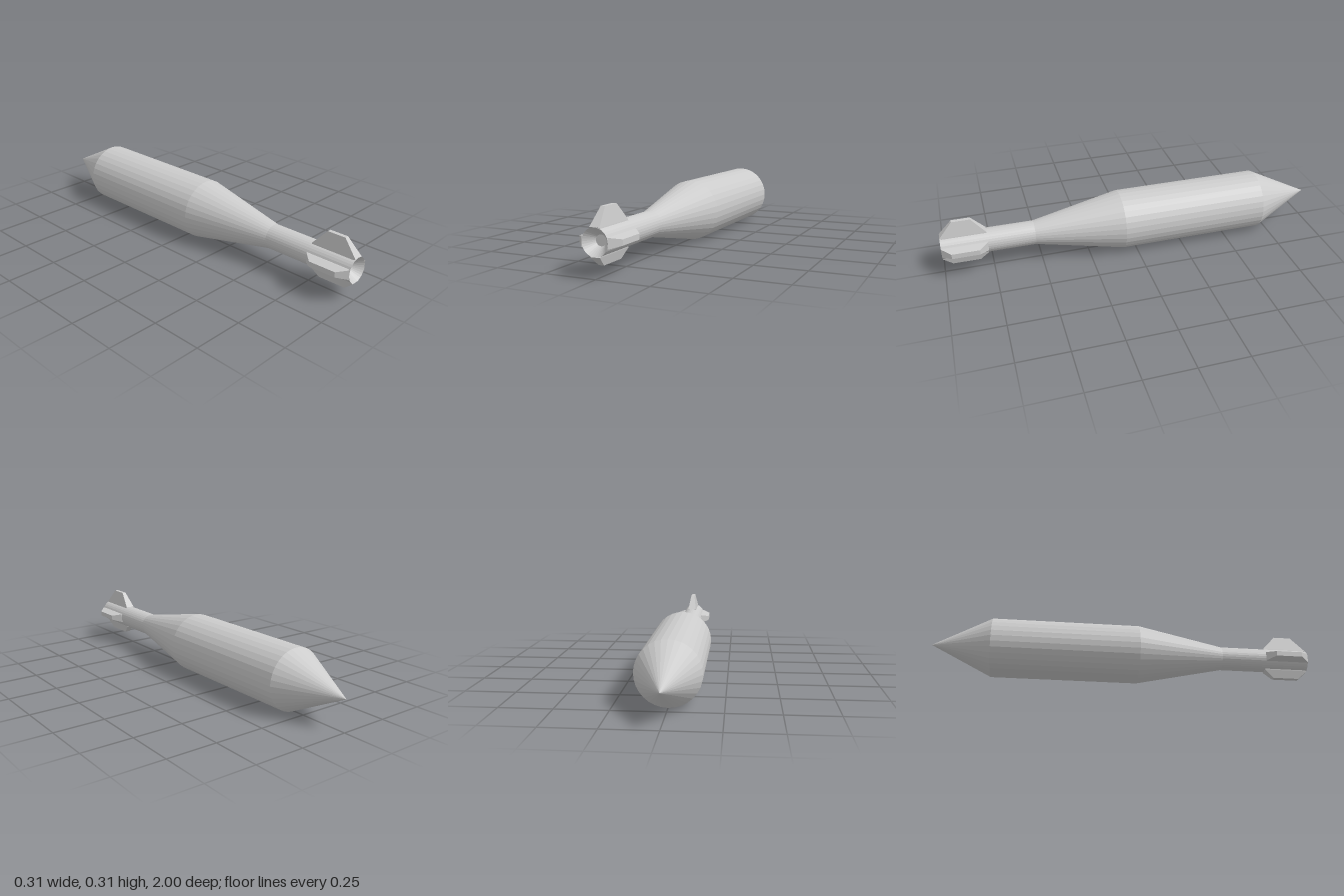
import * as THREE from 'three';

const AXIS_Y = 0.155, SIDES = 32;

const material = new THREE.MeshStandardMaterial({ color: 0xcccccc, flatShading: true });

function addMesh(parent, name, geometry) {
  const flat = geometry.toNonIndexed();
  flat.computeVertexNormals();
  const mesh = new THREE.Mesh(flat, material);
  mesh.name = name;
  parent.add(mesh);
  return mesh;
}

// Turned section along z from [radius, z] pairs
function turned(profile) {
  const points = profile.map(([r, z]) => new THREE.Vector2(r, z));
  return new THREE.LatheGeometry(points, SIDES).rotateX(Math.PI / 2);
}

// Tapered fin along +y; each section is [radius, halfWidth, zBack, zFront]
function fin(sections) {
  const geometry = new THREE.BoxGeometry(2, 2, 2, 1, sections.length - 1, 1);
  const p = geometry.attributes.position;
  for (let i = 0; i < p.count; i++) {
    const level = Math.round((p.getY(i) + 1) / 2 * (sections.length - 1));
    const [r, w, back, front] = sections[level];
    p.setXYZ(i, Math.sign(p.getX(i)) * w, r, p.getZ(i) > 0 ? front : back);
  }
  return geometry;
}

export function createModel() {
  const model = new THREE.Group();
  model.name = 'finnedProjectile';
  const body = new THREE.Group();
  body.name = 'body';
  body.position.y = AXIS_Y;
  model.add(body);

  // Body sections from the pointed end to the hollow tail
  addMesh(body, 'noseCone', turned([[0, -1], [0.154, -0.69]]));
  addMesh(body, 'mainBarrel', turned([[0.154, -0.69], [0.154, 0.075]]));
  addMesh(body, 'taper', turned([[0.154, 0.075], [0.062, 0.53]]));
  addMesh(body, 'tailTube', turned([[0.062, 0.53], [0.062, 1]]));
  addMesh(body, 'tailRecess', turned([[0.062, 1], [0.025, 0.95], [0, 0.95]]));

  // One tall fin on top, three short fins around the rest
  const root = [[0.055, 0.025, 0.77, 0.988], [0.062, 0.024, 0.77, 1]];
  const tall = [...root, [0.14, 0.01, 0.84, 0.932]];
  const short = [...root, [0.104, 0.013, 0.815, 0.953]];
  ['topFin', 'leftFin', 'bottomFin', 'rightFin'].forEach((name, i) => {
    const mesh = addMesh(body, name, fin(i === 0 ? tall : short));
    mesh.rotation.z = -i * Math.PI / 2;
  });

  return model;
}
